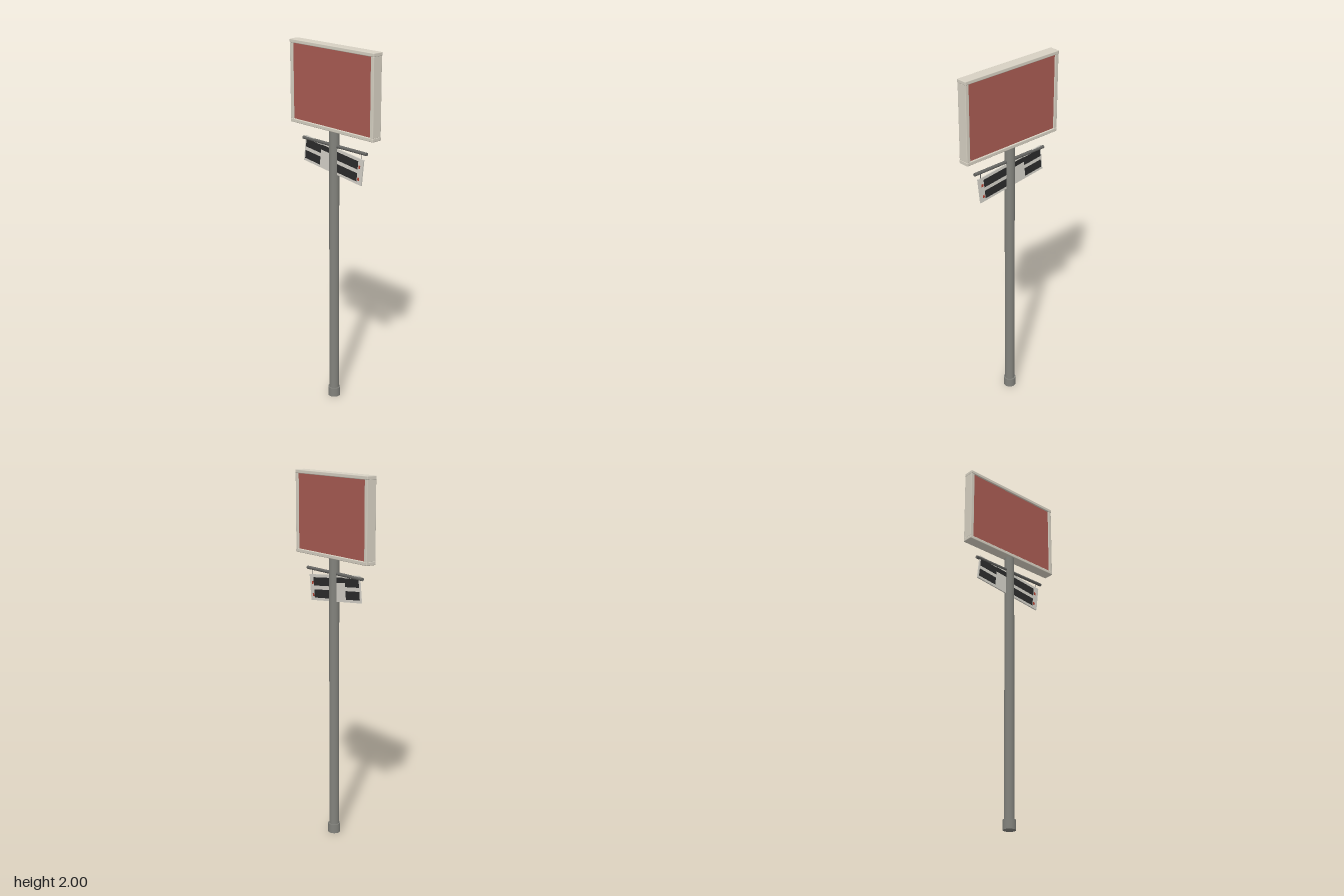
import * as THREE from 'three';
import { RoundedBoxGeometry } from 'three/addons/geometries/RoundedBoxGeometry.js';

function material(name, color) {
  const m = new THREE.MeshStandardMaterial({ color });
  m.name = name;
  return m;
}

export function createModel() {
  const model = new THREE.Group();
  model.name = 'poleSign';

  const cream = material('creamFrame', 0xd6d0c2);
  const red = material('fadedRed', 0xa85b52);
  const steel = material('greySteel', 0x82827c);
  const darkSteel = material('darkSteel', 0x666663);
  const white = material('offWhite', 0xd4d1c8);
  const black = material('charcoal', 0x2b2b2b);
  const accent = material('redAccent', 0xb5402f);

  const add = (parent, name, geometry, mat, x = 0, y = 0, z = 0) => {
    const mesh = new THREE.Mesh(geometry, mat);
    mesh.name = name;
    mesh.position.set(x, y, z);
    parent.add(mesh);
    return mesh;
  };
  const box = (x, y, z) => new THREE.BoxGeometry(x, y, z);

  // Pole and its foot collar
  add(model, 'pole', new THREE.CylinderGeometry(0.027, 0.027, 1.53, 32), steel, 0, 0.795, 0);
  add(model, 'footCollar', new THREE.CylinderGeometry(0.034, 0.034, 0.052, 32), steel, 0, 0.026, 0);

  // Large sign box: rails above and below, posts at the ends, recessed panel
  const sign = new THREE.Group();
  sign.name = 'mainSign';
  model.add(sign);
  for (const y of [1.565, 1.99]) {
    add(sign, 'frameRail', new RoundedBoxGeometry(0.061, 0.02, 0.62, 2, 0.004), cream, 0, y, 0);
  }
  for (const s of [-1, 1]) {
    add(sign, 'framePost', new RoundedBoxGeometry(0.058, 0.41, 0.022, 2, 0.003), cream, 0, 1.7775, s * 0.298);
  }
  add(sign, 'signPanel', box(0.046, 0.41, 0.58), red, 0, 1.7775, 0);

  // Crossbar through the pole with a hanger at the low end
  const crossbar = add(model, 'crossbar', new THREE.CylinderGeometry(0.009, 0.009, 0.48, 16), darkSteel, 0, 1.475, 0);
  crossbar.rotation.x = Math.PI / 2;
  add(model, 'hanger', new THREE.CylinderGeometry(0.002, 0.002, 0.05, 8), darkSteel, 0, 1.452, 0.2);

  // Crooked hanging board
  const board = new THREE.Group();
  board.name = 'hangingBoard';
  board.position.set(0, 1.395, -0.007);
  board.rotation.x = 0.115;
  model.add(board);
  add(board, 'boardPlate', box(0.007, 0.142, 0.44), white);

  // Painted blocks on both faces: [start, end, height centre, height], measured towards -z
  const blocks = [
    [-0.185, 0.0, 0.032, 0.045], [0.0, 0.095, 0.044, 0.028], [0.095, 0.212, 0.032, 0.045],
    [-0.185, -0.02, -0.034, 0.045], [0.095, 0.212, -0.034, 0.045],
  ];
  for (const [a, b, y, h] of blocks) {
    add(board, 'paintedBlock', box(0.009, h, b - a), black, 0, y, -(a + b) / 2);
  }
  for (const y of [0.026, -0.04]) {
    add(board, 'redMark', box(0.009, 0.016, 0.012), accent, 0, y, 0.196);
  }
  return model;
}
